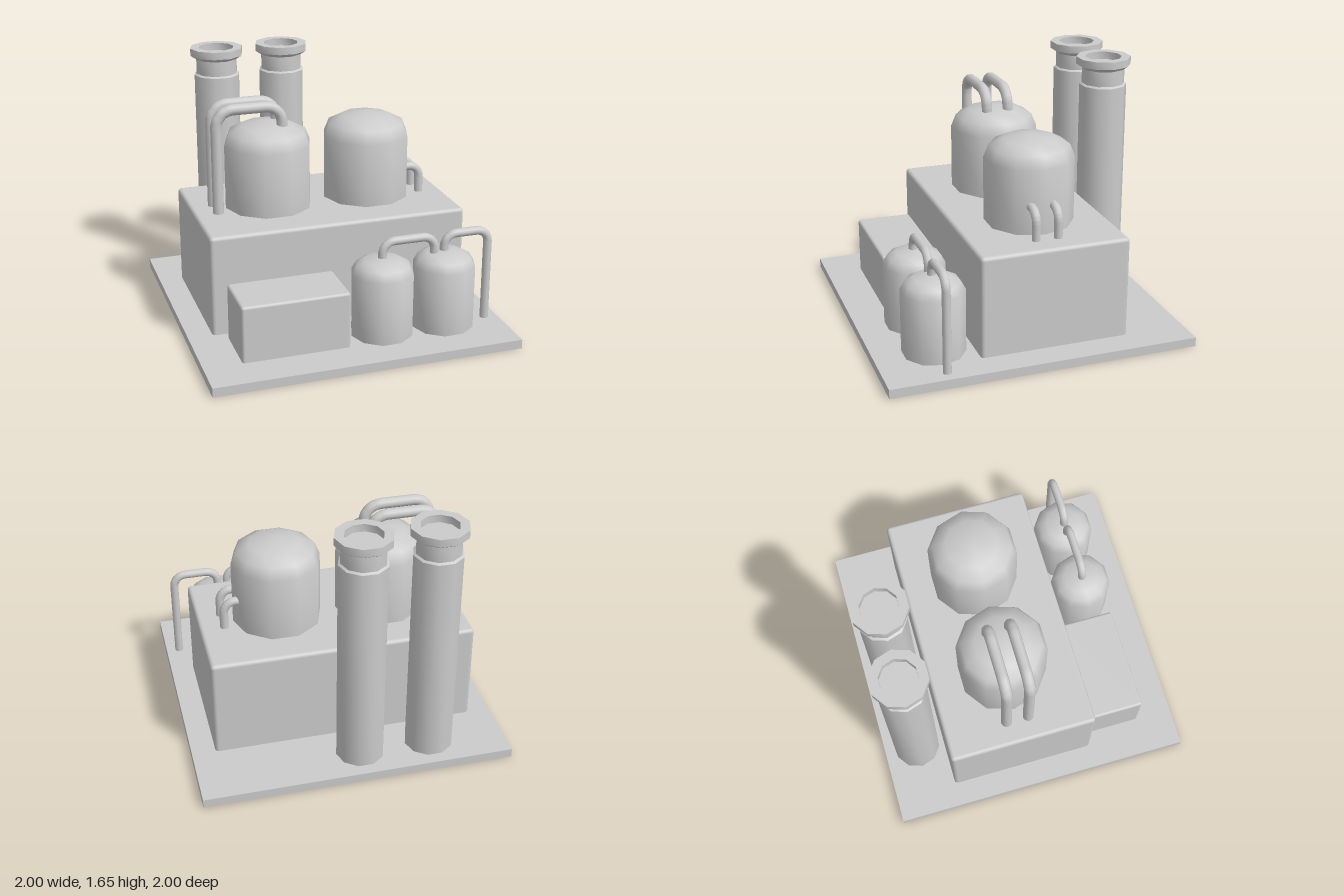
import * as THREE from 'three';
import { toCreasedNormals } from 'three/addons/utils/BufferGeometryUtils.js';
import { RoundedBoxGeometry } from 'three/addons/geometries/RoundedBoxGeometry.js';

const grey = new THREE.MeshStandardMaterial({ color: 0xcccccc });
const greyDouble = new THREE.MeshStandardMaterial({ color: 0xcccccc, side: THREE.DoubleSide });

function part(parent, name, geometry, material = grey) {
  const mesh = new THREE.Mesh(geometry, material);
  mesh.name = name;
  parent.add(mesh);
  return mesh;
}

// Ten-sided turned shape with corners on +x and -x
function turned(profile) {
  const geometry = new THREE.LatheGeometry(profile.map(([r, y]) => new THREE.Vector2(r, y)), 10);
  geometry.rotateY(Math.PI / 2);
  return toCreasedNormals(geometry, 0.87);
}

// Box with rounded top and upright edges and a square-cut foot
function softBlock(x0, x1, y0, y1, z0, z1, r) {
  const geometry = new RoundedBoxGeometry(x1 - x0, y1 - y0 + r, z1 - z0, 2, r);
  geometry.translate((x0 + x1) / 2, (y0 - r + y1) / 2, (z0 + z1) / 2);
  const p = geometry.attributes.position;
  for (let i = 0; i < p.count; i++) p.setY(i, Math.max(p.getY(i), y0));
  return geometry;
}

// Pipe through [x, y] points at depth z, with rounded corners
function pipe(points, z, radius, bend) {
  const pts = points.map(([x, y]) => new THREE.Vector3(x, y, z));
  const path = [pts[0]];
  for (let i = 1; i < pts.length - 1; i++) {
    const toPrev = pts[i - 1].clone().sub(pts[i]).normalize();
    const toNext = pts[i + 1].clone().sub(pts[i]).normalize();
    const start = pts[i].clone().addScaledVector(toPrev, bend);
    const end = pts[i].clone().addScaledVector(toNext, bend);
    const centre = start.clone().addScaledVector(toNext, bend);
    for (let k = 0; k <= 6; k++) {
      const a = (k / 6) * Math.PI / 2;
      path.push(centre.clone()
        .addScaledVector(toNext, -bend * Math.cos(a))
        .addScaledVector(toPrev, -bend * Math.sin(a)));
    }
    if (end.distanceTo(path[path.length - 1]) > 1e-4) path.push(end);
  }
  path.push(pts[pts.length - 1]);
  const curve = new THREE.CurvePath();
  for (let i = 1; i < path.length; i++) curve.add(new THREE.LineCurve3(path[i - 1], path[i]));
  return new THREE.TubeGeometry(curve, 64, radius, 10);
}

export function createModel() {
  const model = new THREE.Group();
  model.name = 'factory';

  // Ground slab: top and four sides, open underneath
  const slab = new THREE.BoxGeometry(2, 0.06, 2);
  slab.translate(0, 0.03, 0);
  const index = Array.from(slab.index.array);
  index.splice(18, 6);
  slab.setIndex(index);
  slab.clearGroups();
  part(model, 'groundSlab', slab, greyDouble);

  // Main hall and the low annex in front of it
  part(model, 'mainHall', softBlock(-0.85, 0.85, 0.08, 0.74, -0.59, 0.38, 0.025));
  part(model, 'annex', softBlock(-0.755, -0.06, 0.06, 0.43, 0.39, 0.76, 0.018));

  // Roof tanks
  const bigTank = turned([[0.288, 0.73], [0.288, 1.16], [0.256, 1.24], [0.17, 1.285], [0, 1.313]]);
  for (const x of [-0.34, 0.337]) part(model, 'roofTank', bigTank).position.set(x, 0, -0.11);

  // Ground tanks
  const smallTank = turned([[0.202, 0.06], [0.202, 0.48], [0.173, 0.533], [0.12, 0.562], [0, 0.58]]);
  for (const x of [0.197, 0.615]) part(model, 'groundTank', smallTank).position.set(x, 0, 0.615);

  // Chimneys with a flared rim and a recessed mouth
  const chimney = turned([
    [0.156, 0.06], [0.156, 1.47], [0.141, 1.48], [0.141, 1.58], [0.18, 1.605],
    [0.18, 1.655], [0.12, 1.655], [0.12, 1.605], [0, 1.605],
  ]);
  for (const x of [-0.507, -0.05]) part(model, 'chimney', chimney).position.set(x, 0, -0.775);

  // Roof pipes come in pairs
  for (const z of [-0.035, -0.18]) {
    part(model, 'roofPipe',
      pipe([[-0.695, 0.72], [-0.695, 1.423], [-0.26, 1.423], [-0.26, 1.24]], z, 0.036, 0.11));
    part(model, 'roofElbowPipe',
      pipe([[0.54, 0.925], [0.692, 0.925], [0.692, 0.72]], z + 0.008, 0.028, 0.075));
  }

  // Pipes linking the ground tanks and running down to the slab
  part(model, 'linkPipe',
    pipe([[0.193, 0.54], [0.193, 0.678], [0.543, 0.678], [0.543, 0.5]], 0.618, 0.028, 0.08));
  part(model, 'drainPipe',
    pipe([[0.61, 0.54], [0.61, 0.678], [0.912, 0.678], [0.912, 0.05]], 0.618, 0.028, 0.08));

  return model;
}
